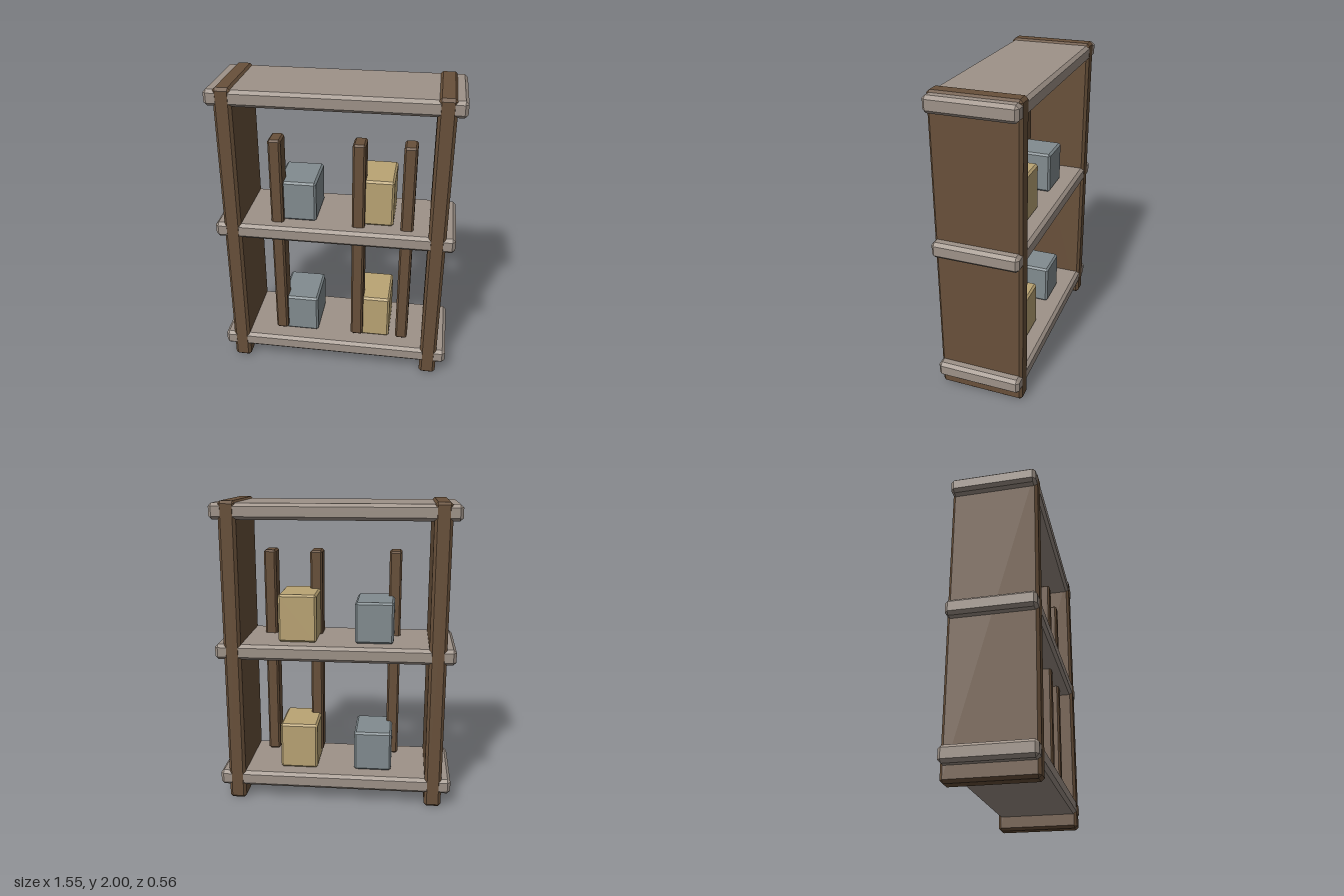
import * as THREE from 'three';
import { ConvexGeometry } from 'three/addons/geometries/ConvexGeometry.js';

// Box with every edge chamfered by c: each corner becomes three points
function chamferBox(w, h, d, c) {
  const half = [w / 2, h / 2, d / 2];
  const points = [];
  for (const sx of [-1, 1]) for (const sy of [-1, 1]) for (const sz of [-1, 1]) {
    for (let axis = 0; axis < 3; axis++) {
      const p = half.map((v, i) => (i === axis ? v : v - c));
      points.push(new THREE.Vector3(sx * p[0], sy * p[1], sz * p[2]));
    }
  }
  return new ConvexGeometry(points);
}

export function createModel() {
  const model = new THREE.Group();
  model.name = 'shelfUnit';

  const material = (color) => new THREE.MeshStandardMaterial({ color, flatShading: true });
  const darkWood = material(0x68503a);
  const paleWood = material(0x9e9288);
  const greyBlue = material(0x828c90);
  const tan = material(0xbaa474);

  // Adds a chamfered block from its [min, max] extents
  function block(name, mat, [x0, x1], [y0, y1], [z0, z1], c) {
    const mesh = new THREE.Mesh(chamferBox(x1 - x0, y1 - y0, z1 - z0, c), mat);
    mesh.position.set((x0 + x1) / 2, (y0 + y1) / 2, (z0 + z1) / 2);
    mesh.name = name;
    model.add(mesh);
  }

  // Side panels, a hair proud of the shelf edges
  block('leftSidePanel', darkWood, [0.605, 0.717], [0, 2], [-0.278, 0.278], 0.018);
  block('rightSidePanel', darkWood, [-0.717, -0.605], [0, 2], [-0.278, 0.278], 0.018);

  // Shelves
  const shelves = { bottomShelf: 0.095, middleShelf: 0.988, topShelf: 1.885 };
  for (const [name, y] of Object.entries(shelves)) {
    block(name, paleWood, [-0.777, 0.777], [y, y + 0.102], [-0.277, 0.277], 0.02);
  }

  // Upright dividers running through the middle shelf
  for (const x of [-0.378, 0.152, 0.465]) {
    block('divider', darkWood, [x - 0.041, x + 0.041], [0.225, 1.66], [0.065, 0.203], 0.012);
  }

  // Stored boxes, one pair per shelf
  for (const y of [0.197, 1.09]) {
    block('greyBox', greyBlue, [-0.378, -0.127], [y, y + 0.272], [-0.168, 0.163], 0.013);
    block('tanBox', tan, [0.123, 0.375], [y, y + 0.315], [-0.172, 0.16], 0.013);
  }

  return model;
}
